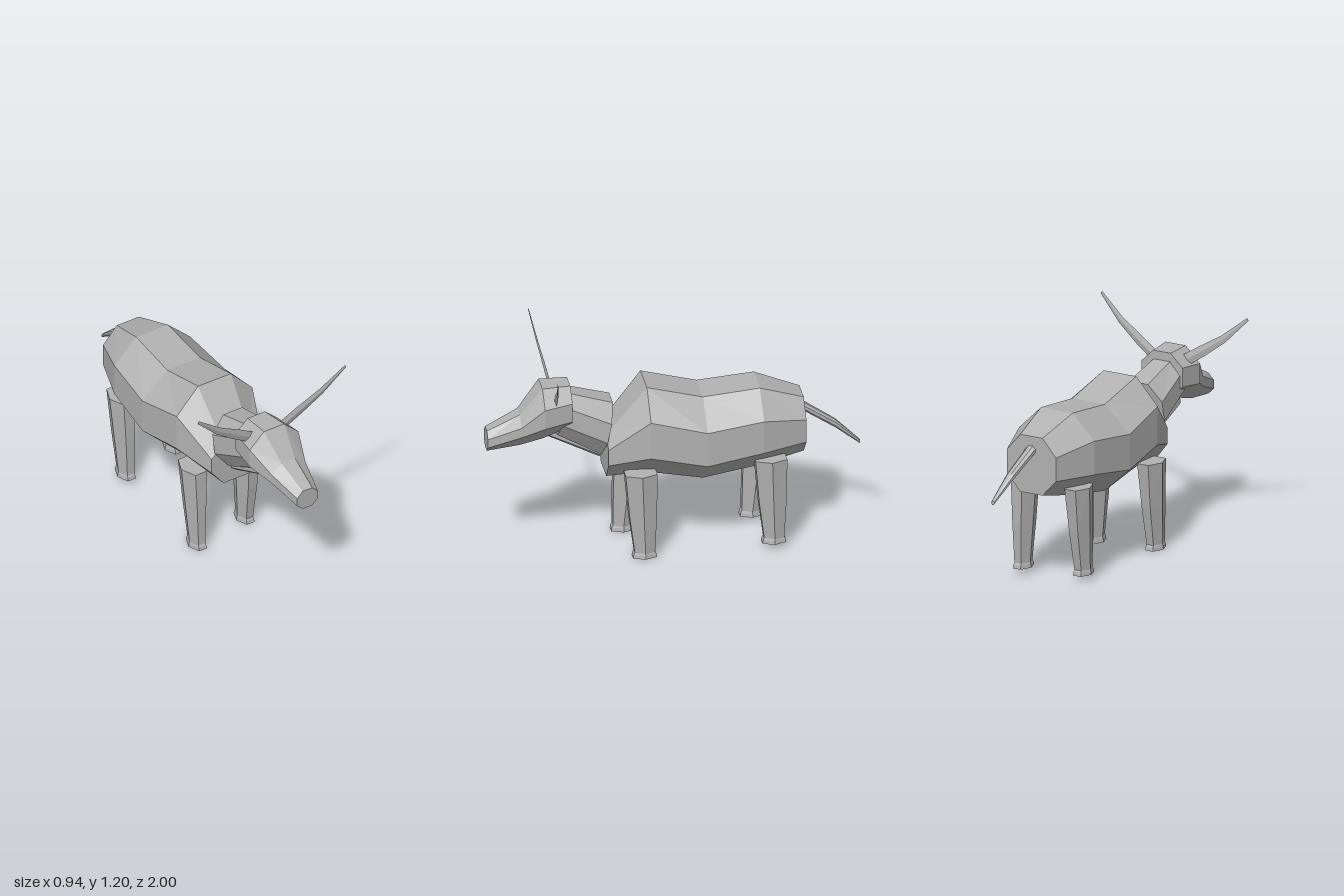
import * as THREE from 'three';

const hide = new THREE.MeshStandardMaterial({ color: 0xb2b2b2, flatShading: true });
hide.name = 'grey hide';

// Closed, faceted skin through a list of rings with equal point counts
function loft(name, rings) {
  const tris = [];
  const n = rings[0].length;
  for (let r = 0; r < rings.length - 1; r++) {
    for (let i = 0; i < n; i++) {
      const j = (i + 1) % n;
      const a = rings[r][i], b = rings[r][j], c = rings[r + 1][j], d = rings[r + 1][i];
      tris.push([a, b, c], [a, c, d]);
    }
  }
  const first = rings[0], last = rings[rings.length - 1];
  for (let i = 1; i < n - 1; i++) {
    tris.push([first[0], first[i + 1], first[i]], [last[0], last[i], last[i + 1]]);
  }
  // Signed volume tells whether the faces point outward
  let volume = 0;
  for (const [a, b, c] of tris) volume += a.dot(b.clone().cross(c));
  const points = tris.flatMap(([a, b, c]) => (volume < 0 ? [a, c, b] : [a, b, c]));
  const geometry = new THREE.BufferGeometry().setFromPoints(points);
  geometry.computeVertexNormals();
  const mesh = new THREE.Mesh(geometry, hide);
  mesh.name = name;
  return mesh;
}

// Octagon across the animal: four heights, half widths, and z at top and bottom
function octagon({ x = 0, z, zLow = z, y, top, wide, low = top }) {
  const halves = [top, wide, wide, low];
  const depth = (h) => z + (zLow - z) * (y[0] - h) / (y[0] - y[3]);
  const right = y.map((h, i) => new THREE.Vector3(x + halves[i], h, depth(h)));
  const left = y.map((h, i) => new THREE.Vector3(x - halves[i], h, depth(h)));
  return [...right, ...left.reverse()];
}

// Level ring for the legs, with a flat face to the front
function level(x, y, z, rx, rz, n = 6) {
  return Array.from({ length: n }, (_, i) => {
    const a = (i / n) * Math.PI * 2;
    return new THREE.Vector3(x + rx * Math.cos(a), y, z + rz * Math.sin(a) / 0.866);
  });
}

// Leg with a slim shaft and a slightly flared hoof
function leg(name, x, topY, topZ, footY, footZ) {
  return loft(name, [
    level(x, topY, topZ, 0.069, 0.085),
    level(x, (topY + footY) / 2, (topZ + footZ) / 2, 0.055, 0.073),
    level(x, footY + 0.03, footZ, 0.043, 0.054),
    level(x, footY + 0.02, footZ, 0.046, 0.06),
    level(x, footY, footZ, 0.049, 0.064),
  ]);
}

// Thin curved horn, flat from front to back
function horn(name, side) {
  const path = [
    [0.09, 0.915, 0.638, 0.032, 0.008],
    [0.2, 0.985, 0.65, 0.03, 0.007],
    [0.325, 1.068, 0.667, 0.021, 0.005],
    [0.463, 1.192, 0.69, 0.008, 0.002],
  ];
  return loft(name, path.map(([x, y, z, w, t]) => [
    [-0.58 * w, 0.8 * w, 0], [0, 0, t], [0.58 * w, -0.8 * w, 0], [0, 0, -t],
  ].map(([dx, dy, dz]) => new THREE.Vector3(side * (x + dx), y + dy, z + dz))));
}

export function createModel() {
  const model = new THREE.Group();
  model.name = 'longHornedCow';

  // Barrel with high shoulders and hips
  model.add(loft('body', [
    octagon({ x: -0.01, z: 0.365, y: [0.69, 0.63, 0.54, 0.445], top: 0.085, wide: 0.16 }),
    octagon({ x: -0.012, z: 0.15, y: [0.955, 0.81, 0.6, 0.46], top: 0.103, wide: 0.238 }),
    octagon({ x: -0.012, z: -0.15, y: [0.875, 0.735, 0.54, 0.4], top: 0.103, wide: 0.26 }),
    octagon({ x: -0.012, z: -0.455, y: [0.9, 0.768, 0.583, 0.45], top: 0.1, wide: 0.238 }),
    octagon({ x: -0.01, z: -0.695, y: [0.815, 0.72, 0.59, 0.5], top: 0.07, wide: 0.155 }),
  ]));

  // Neck
  model.add(loft('neck', [
    octagon({ x: -0.012, z: 0.325, zLow: 0.385, y: [0.86, 0.77, 0.66, 0.56], top: 0.06, wide: 0.138 }),
    octagon({ x: -0.01, z: 0.56, zLow: 0.62, y: [0.93, 0.87, 0.77, 0.69], top: 0.05, wide: 0.112 }),
  ]));

  // Narrow flap hanging under the throat
  model.add(loft('dewlap', [
    octagon({ x: -0.02, z: 0.36, zLow: 0.39, y: [0.59, 0.57, 0.54, 0.525], top: 0.015, wide: 0.035 }),
    octagon({ x: -0.025, z: 0.65, zLow: 0.66, y: [0.715, 0.705, 0.675, 0.662], top: 0.015, wide: 0.035 }),
  ]));

  // Head with a tapering muzzle
  model.add(loft('head', [
    octagon({ x: -0.01, z: 0.552, y: [0.975, 0.905, 0.8, 0.735], top: 0.055, wide: 0.13 }),
    octagon({ x: 0.003, z: 0.705, y: [0.98, 0.895, 0.785, 0.69], top: 0.063, wide: 0.153 }),
    octagon({ x: 0.015, z: 0.825, y: [0.833, 0.785, 0.73, 0.657], top: 0.042, wide: 0.107 }),
    octagon({ x: 0.022, z: 1, y: [0.75, 0.715, 0.667, 0.635], top: 0.03, wide: 0.065 }),
  ]));

  model.add(horn('leftHorn', 1), horn('rightHorn', -1));

  // Tail reaching back and down
  model.add(loft('tail', [
    octagon({ x: -0.01, z: -0.66, y: [0.785, 0.77, 0.75, 0.735], top: 0.013, wide: 0.03 }),
    octagon({ x: 0.012, z: -0.87, y: [0.648, 0.637, 0.617, 0.603], top: 0.01, wide: 0.022 }),
    octagon({ x: 0.032, z: -1, y: [0.527, 0.522, 0.512, 0.505], top: 0.004, wide: 0.009 }),
  ]));

  // Legs in a slow walk
  model.add(
    leg('frontLeftLeg', 0.158, 0.49, 0.195, 0, 0.175),
    leg('frontRightLeg', -0.181, 0.49, 0.195, 0, 0.235),
    leg('backLeftLeg', 0.158, 0.52, -0.5, 0.03, -0.517),
    leg('backRightLeg', -0.181, 0.52, -0.5, 0.03, -0.455),
  );
  return model;
}
